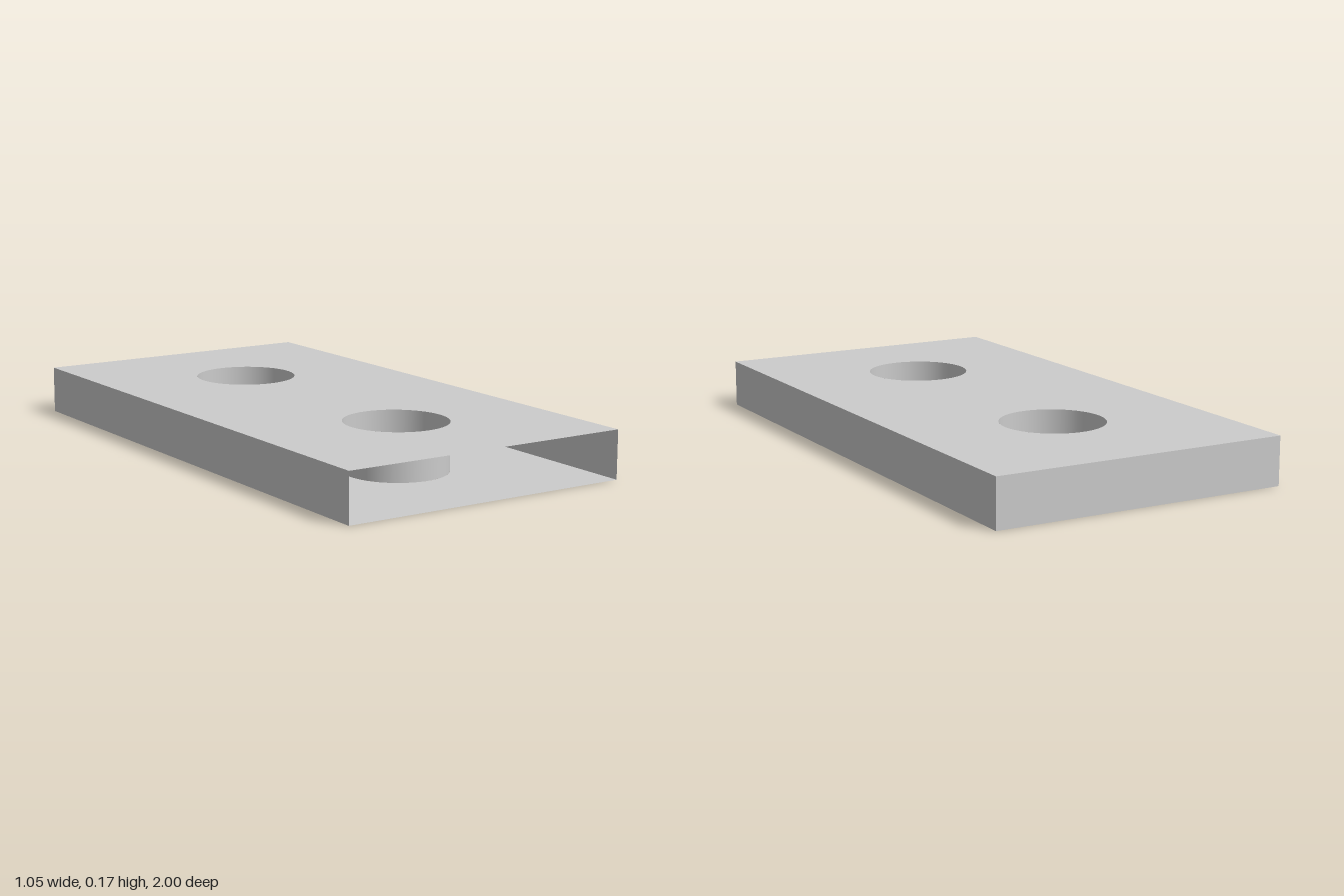
import * as THREE from 'three';

const W = 1.054, H = 0.168, L = 2, R = 0.18, SEGMENTS = 48;
const HOLES = [[0.002, -0.464], [0.002, 0.497]]; // x, z centres

export function createModel() {
  const group = new THREE.Group();
  group.name = 'drilledPlate';
  const material = new THREE.MeshStandardMaterial({ color: 0xcccccc, side: THREE.DoubleSide });
  const add = (name, geometry) => {
    const mesh = new THREE.Mesh(geometry, material);
    mesh.name = name;
    group.add(mesh);
    return mesh;
  };

  // Rectangular sheet with two round holes, drawn in x and -z
  const outline = new THREE.Shape([
    new THREE.Vector2(-W / 2, -L / 2), new THREE.Vector2(W / 2, -L / 2),
    new THREE.Vector2(W / 2, L / 2), new THREE.Vector2(-W / 2, L / 2),
  ]);
  for (const [x, z] of HOLES) {
    outline.holes.push(new THREE.Path().absarc(x, -z, R, 0, Math.PI * 2, true));
  }
  const sheet = () => new THREE.ShapeGeometry(outline, SEGMENTS).rotateX(-Math.PI / 2);
  add('topFace', sheet().translate(0, H, 0));

  // Bottom sheet: same holes, with faces and normals turned downward
  const bottom = sheet();
  bottom.index.array.reverse();
  bottom.computeVertexNormals();
  add('bottomFace', bottom);

  // Outer walls; the front end is open
  for (const [name, s] of [['leftWall', 1], ['rightWall', -1]]) {
    add(name, new THREE.PlaneGeometry(L, H).rotateY(s * Math.PI / 2).translate(s * W / 2, H / 2, 0));
  }
  add('backWall', new THREE.PlaneGeometry(W, H).rotateY(Math.PI).translate(0, H / 2, -L / 2));

  // Smooth bores joining the two sheets
  HOLES.forEach(([x, z], i) => {
    add(i ? 'frontBore' : 'backBore',
      new THREE.CylinderGeometry(R, R, H, SEGMENTS, 1, true).translate(x, H / 2, z));
  });

  return group;
}
